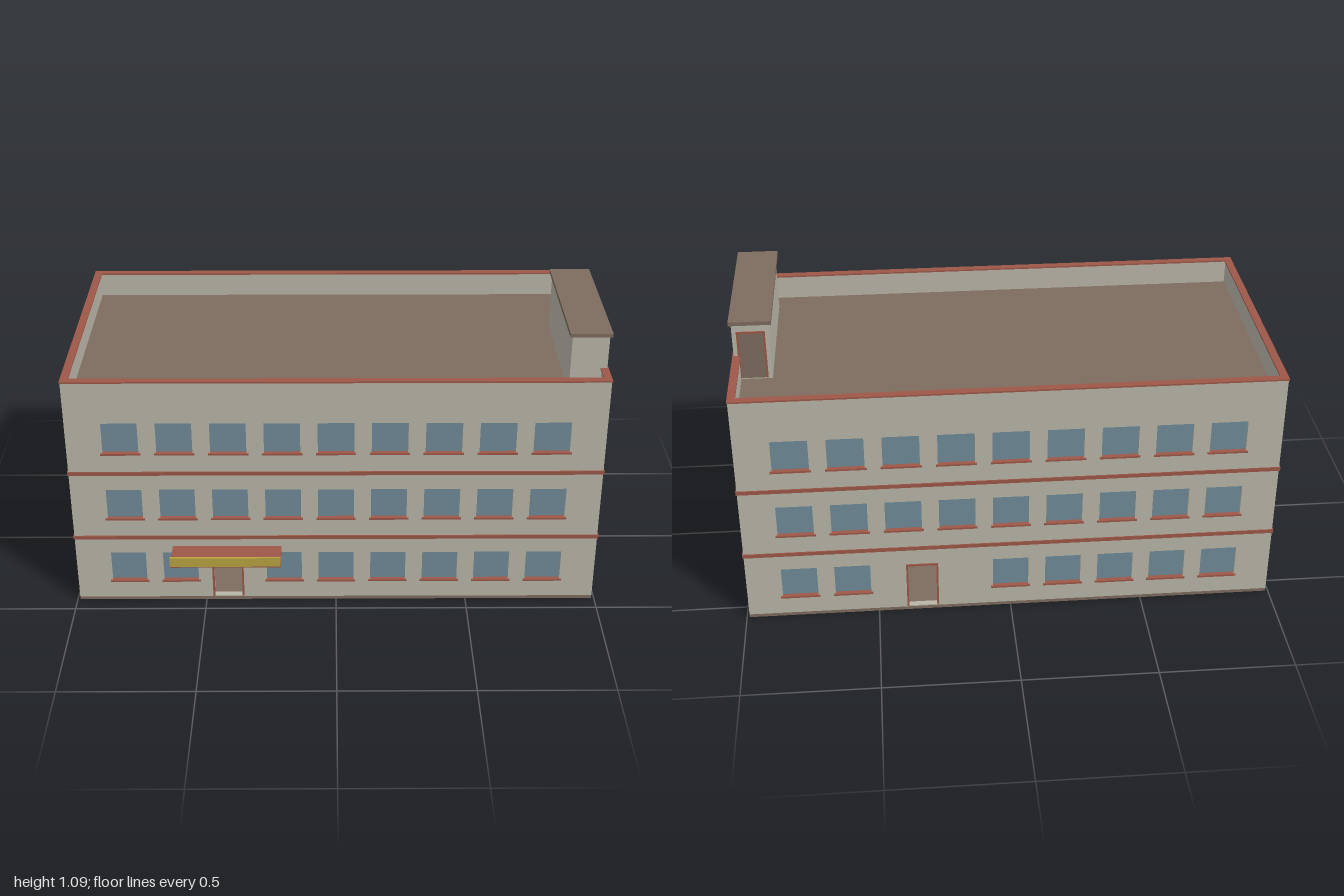
import * as THREE from 'three';

const mat = (name, color) => Object.assign(new THREE.MeshStandardMaterial({ color }), { name });

export function createModel() {
  const wallMat = mat('pale plaster', 0xb9b5a8);
  const glassMat = mat('blue glass', 0x6f8a98);
  const redMat = mat('brick red trim', 0x9c5748);
  const brownMat = mat('brown roofing', 0x7d6c5e);
  const yellowMat = mat('yellow sign', 0xb8a340);

  const model = new THREE.Group();
  model.name = 'building';
  const CZ = -0.0625, HX = 0.99, HZ = 0.5;   // footprint centre and half sizes
  const T = 0.022, BASE = 0.013, TOP = 0.945; // wall thickness and heights
  const WIN_W = 0.134, WIN_H = 0.125, ROWS = [0.091, 0.371, 0.652];
  const DOOR_W = 0.106, DOOR_Y = 0.018, DOOR_H = 0.187;

  // Box given by its limits on each axis
  function box(name, material, [x0, x1], [y0, y1], [z0, z1], parent = model) {
    const m = new THREE.Mesh(new THREE.BoxGeometry(x1 - x0, y1 - y0, z1 - z0), material);
    m.position.set((x0 + x1) / 2, (y0 + y1) / 2, (z0 + z1) / 2);
    m.name = name;
    parent.add(m);
    return m;
  }

  function rect(target, x, y, w, h) {
    target.moveTo(x, y);
    target.lineTo(x + w, y);
    target.lineTo(x + w, y + h);
    target.lineTo(x, y + h);
    target.closePath();
    return target;
  }

  // Rectangular ring running round the building
  function ring(name, material, y, h, out, width) {
    const a = HX + out, b = HZ + out;
    const s = rect(new THREE.Shape(), -a, -b, 2 * a, 2 * b);
    s.holes.push(rect(new THREE.Path(), -a + width, -b + width, 2 * (a - width), 2 * (b - width)));
    const g = new THREE.ExtrudeGeometry(s, { depth: h, bevelEnabled: false });
    g.rotateX(-Math.PI / 2);
    const m = new THREE.Mesh(g, material);
    m.position.set(0, y, CZ);
    m.name = name;
    model.add(m);
  }

  // Thin frame round three sides of a doorway
  function doorFrame(parent, x, y, w, h) {
    const f = 0.007, z = [-0.01, 0.005];
    box('doorJamb', redMat, [x - w / 2 - f, x - w / 2], [y, y + h], z, parent);
    box('doorJamb', redMat, [x + w / 2, x + w / 2 + f], [y, y + h], z, parent);
    box('doorHead', redMat, [x - w / 2 - f, x + w / 2 + f], [y + h, y + h + f], z, parent);
  }

  // Facade with recessed windows, sills and an optional open doorway; outer face at local z = 0
  function facade(name, width, count, spacing, door, skip) {
    const g = new THREE.Group();
    g.name = name;
    const s = rect(new THREE.Shape(), -width / 2, BASE, width, TOP - BASE);
    ROWS.forEach((y, row) => {
      for (let i = 0; i < count; i++) {
        if (row === 0 && skip.includes(i)) continue;
        const x = (i - (count - 1) / 2) * spacing;
        s.holes.push(rect(new THREE.Path(), x - WIN_W / 2, y, WIN_W, WIN_H));
        const pane = new THREE.Mesh(new THREE.PlaneGeometry(WIN_W, WIN_H), glassMat);
        pane.position.set(x, y + WIN_H / 2, -0.012);
        pane.name = 'windowPane';
        g.add(pane);
        box('windowSill', redMat, [x - 0.074, x + 0.074], [y - 0.006, y + 0.001], [-0.012, 0.006], g);
      }
    });
    if (door !== null) {
      s.holes.push(rect(new THREE.Path(), door - DOOR_W / 2, DOOR_Y, DOOR_W, DOOR_H));
      doorFrame(g, door, DOOR_Y, DOOR_W, DOOR_H);
      // Glass screen deep inside the entrance
      box('innerGlassScreen', glassMat, [door - 0.07, door + 0.07], [BASE, 0.24], [-0.36, -0.352], g);
    }
    const geo = new THREE.ExtrudeGeometry(s, { depth: T, bevelEnabled: false });
    geo.translate(0, 0, -T);
    const wall = new THREE.Mesh(geo, wallMat);
    wall.name = 'wall';
    g.add(wall);
    model.add(g);
    return g;
  }

  // Four facades
  const longW = 2 * HX, shortW = 2 * (HZ - T);
  facade('frontFacade', longW, 9, 0.198, -0.414, [2]).position.z = CZ + HZ;
  const back = facade('backFacade', longW, 9, 0.198, -0.333, [2, 3]);
  back.position.z = CZ - HZ;
  back.rotation.y = Math.PI;
  const plusX = facade('leftFacade', shortW, 4, 0.199, null, []);
  plusX.position.set(HX, 0, CZ);
  plusX.rotation.y = Math.PI / 2;
  const minusX = facade('rightFacade', shortW, 4, 0.199, -0.163, [0, 1]);
  minusX.position.set(-HX, 0, CZ);
  minusX.rotation.y = -Math.PI / 2;

  // Ground slab and sunken roof deck
  box('groundSlab', brownMat, [-HX, HX], [0, BASE], [CZ - HZ, CZ + HZ]);
  box('roofDeck', brownMat, [-HX + T, HX - T], [0.83, 0.85], [CZ - HZ + T, CZ + HZ - T]);

  // Floor bands and parapet coping
  ring('lowerBand', redMat, 0.278, 0.015, 0.004, 0.01);
  ring('upperBand', redMat, 0.559, 0.015, 0.004, 0.01);
  ring('parapetCoping', redMat, 0.942, 0.006, 0.003, 0.029);

  // Rooftop stair house with a door on its back
  box('stairHouse', wallMat, [0.853, 0.988], [0.85, 1.077], [-0.234, 0.337]);
  box('stairHouseRoof', brownMat, [0.843, 0.997], [1.076, 1.091], [-0.244, 0.347]);
  const hatch = new THREE.Group();
  hatch.name = 'stairHouseDoor';
  hatch.position.set(0.92, 0, -0.234);
  hatch.rotation.y = Math.PI;
  box('doorLeaf', brownMat, [-0.045, 0.045], [0.855, 1.04], [-0.004, 0.002], hatch);
  doorFrame(hatch, 0, 0.855, 0.09, 0.185);
  model.add(hatch);

  // Entrance canopy with a yellow fascia
  box('entranceCanopy', redMat, [-0.62, -0.207], [0.233, 0.245], [CZ + HZ, 0.565]);
  box('canopyFascia', yellowMat, [-0.62, -0.207], [0.238, 0.276], [0.558, 0.567]);

  return model;
}
